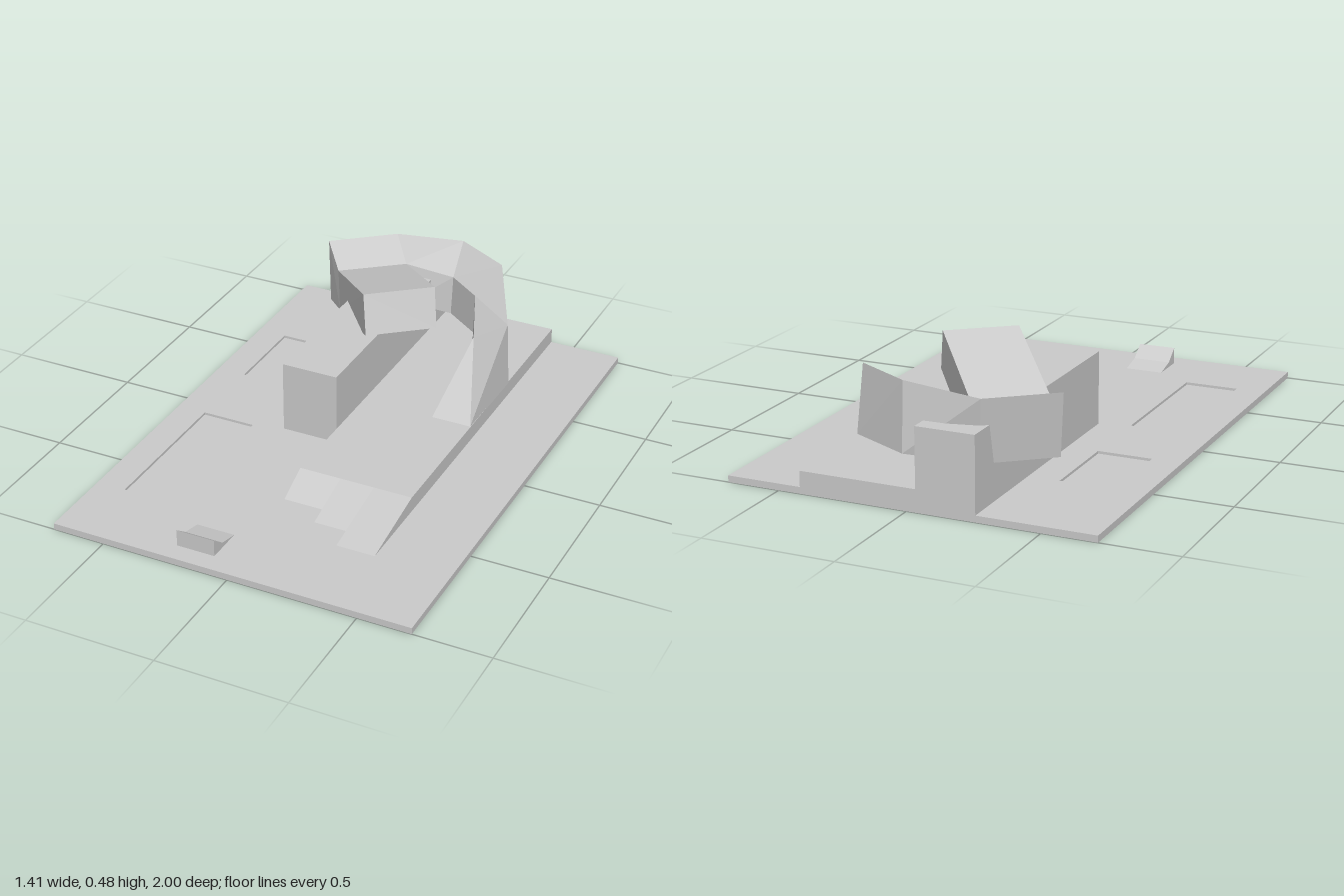
import * as THREE from 'three';

const material = new THREE.MeshStandardMaterial({ color: 0xcccccc, flatShading: true });
const BASE = 0.025;

function part(name, geometry) {
  const mesh = new THREE.Mesh(geometry, material);
  mesh.name = name;
  return mesh;
}

function boxBetween(x0, x1, y0, y1, z0, z1) {
  return new THREE.BoxGeometry(x1 - x0, y1 - y0, z1 - z0)
    .translate((x0 + x1) / 2, (y0 + y1) / 2, (z0 + z1) / 2);
}

const rect = (x0, x1, z0, z1) => [[x0, z0], [x1, z0], [x1, z1], [x0, z1]].map((p) => new THREE.Vector2(...p));

// Side profile of [z, y] points extruded across x
function profileAcross(points, x0, x1) {
  const shape = new THREE.Shape(points.map((p) => new THREE.Vector2(...p)));
  return new THREE.ExtrudeGeometry(shape, { depth: x1 - x0, bevelEnabled: false })
    .rotateY(-Math.PI / 2).translate(x1, 0, 0);
}

// Solid through four-cornered sections: outer top, inner top, inner bottom, outer bottom
function loft(sections) {
  const positions = [];
  const quad = (a, b, c, d) => [a, b, c, a, c, d].forEach((p) => positions.push(...p));
  for (let i = 0; i < sections.length - 1; i++) {
    const s = sections[i], t = sections[i + 1];
    for (let k = 0; k < 4; k++) {
      const n = (k + 1) % 4;
      quad(s[k], t[k], t[n], s[n]);
    }
  }
  const first = sections[0], last = sections[sections.length - 1];
  quad(first[0], first[1], first[2], first[3]);
  quad(last[0], last[3], last[2], last[1]);
  const geometry = new THREE.BufferGeometry();
  geometry.setAttribute('position', new THREE.Float32BufferAttribute(positions, 3));
  geometry.computeVertexNormals();
  return geometry;
}

export function createModel() {
  const group = new THREE.Group();

  // Ground plate with two shallow recesses in its upper layer
  const recessDepth = 0.01;
  group.add(part('groundPlate', boxBetween(-0.705, 0.705, 0, BASE - recessDepth, -1, 1)));
  const top = new THREE.Shape(rect(-0.705, 0.705, -1, 1));
  for (const [z0, z1] of [[0.1, 0.7], [-0.57, -0.22]]) {
    top.holes.push(new THREE.Path(rect(-0.59, -0.38, z0, z1)));
  }
  group.add(part('groundSurface',
    new THREE.ExtrudeGeometry(top, { depth: recessDepth, bevelEnabled: false })
      .rotateX(Math.PI / 2).translate(0, BASE, 0)));

  // Tall block at the back
  group.add(part('tallBlock', boxBetween(-0.26, -0.035, BASE, 0.31, -1, 0.07)));

  // Low platform in three lanes, each with a longer run-up ramp
  const lanes = new THREE.Group();
  lanes.name = 'lowPlatform';
  for (const [x0, x1, end] of [[-0.035, 0.13, 0.5], [0.13, 0.265, 0.585], [0.265, 0.415, 0.68]]) {
    lanes.add(part('platformLane',
      profileAcross([[-1, BASE], [end, BASE], [0.37, 0.085], [-1, 0.085]], x0, x1)));
  }
  group.add(lanes);

  // Small kicker ramp at the front edge
  group.add(part('kickerRamp',
    profileAcross([[0.78, BASE], [0.925, BASE], [0.925, 0.09], [0.865, 0.045]], -0.24, -0.09)));

  // Banked curve climbing from the platform
  const innerNear = [-0.15, 0.35, -0.8], innerNearLow = [-0.125, 0.195, -0.765];
  const innerFar = [-0.37, 0.35, -0.627], innerFarLow = [-0.345, 0.195, -0.59];
  group.add(part('bankedCurve', loft([
    [[0.413, 0.085, -0.165], [0.255, 0.085, -0.165], [0.255, 0.08, -0.165], [0.413, 0.08, -0.165]],
    [[0.405, 0.34, -0.53], [0.265, 0.25, -0.53], [0.255, 0.083, -0.53], [0.418, 0.083, -0.53]],
    [[0.265, 0.44, -0.8], [0.2, 0.34, -0.69], [0.2, 0.18, -0.68], [0.28, 0.185, -0.825]],
    [[0.045, 0.44, -0.925], [0.06, 0.34, -0.795], [0.057, 0.18, -0.785], [0.04, 0.185, -0.948]],
    [[-0.245, 0.41, -0.92], innerNear, innerNearLow, [-0.22, 0.165, -0.885]],
    [[-0.468, 0.41, -0.74], innerFar, innerFarLow, [-0.443, 0.165, -0.705]],
  ])));

  // Launch ramp leaving the curve over the tall block
  group.add(part('launchRamp', loft([
    [innerFar, innerNear, innerNearLow, innerFarLow],
    [[-0.09, 0.48, -0.275], [0.13, 0.48, -0.45], [0.157, 0.325, -0.413], [-0.062, 0.325, -0.238]],
  ])));

  return group;
}
